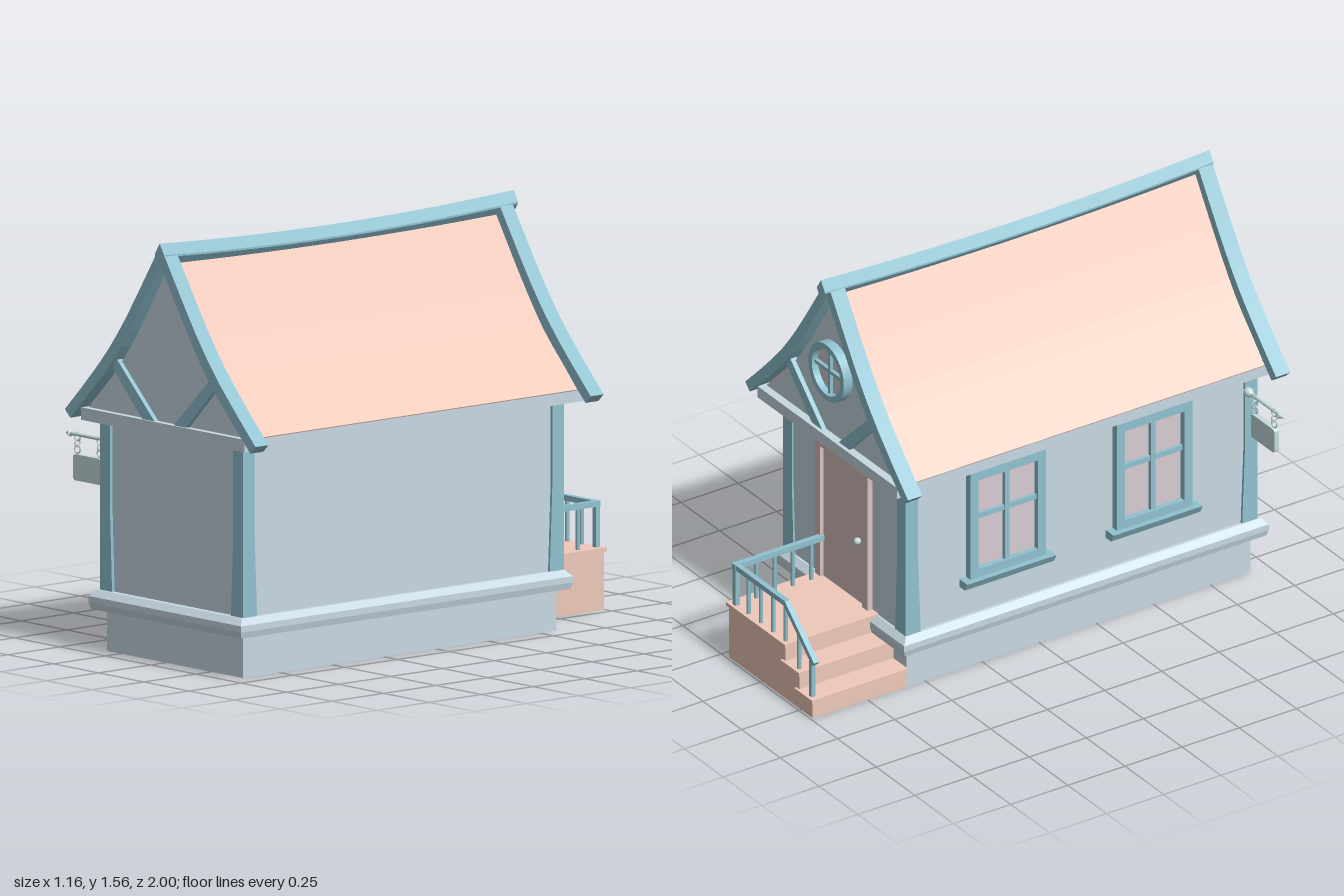
import * as THREE from 'three';

const CX = 0.05; // centre line of the house
const mat = (color, flatShading = true) => new THREE.MeshStandardMaterial({ color, flatShading });

export function createModel() {
  const root = new THREE.Group();
  const wall = mat(0xc8d9e3), trim = mat(0x90c2d0), roofMat = mat(0xefc9ba);
  const doorMat = mat(0xdac3bf), glass = mat(0xd6cdd2), signMat = mat(0xc6dcde);
  const trimSmooth = mat(0x90c2d0, false), metal = mat(0xc6dcde, false);

  const add = (name, geo, material, parent = root) => {
    const m = new THREE.Mesh(geo, material);
    m.name = name;
    parent.add(m);
    return m;
  };
  // Box given by its extents on each axis
  const box = (name, x0, x1, y0, y1, z0, z1, material, parent) => {
    const m = add(name, new THREE.BoxGeometry(x1 - x0, y1 - y0, z1 - z0), material, parent);
    m.position.set((x0 + x1) / 2, (y0 + y1) / 2, (z0 + z1) / 2);
    return m;
  };
  // Bar between two points, square (4 sides) or round
  const bar = (name, a, b, r, material, parent, sides = 8) => {
    const p = new THREE.Vector3(...a), q = new THREE.Vector3(...b), d = q.clone().sub(p);
    const g = new THREE.CylinderGeometry(r, r, d.length(), sides);
    if (sides === 4) g.rotateY(Math.PI / 4);
    const m = add(name, g, material, parent);
    m.position.copy(p).add(q).multiplyScalar(0.5);
    m.quaternion.setFromUnitVectors(new THREE.Vector3(0, 1, 0), d.normalize());
    return m;
  };
  // Outline extruded from z0 to z1
  const prism = (name, shape, z0, z1, material, parent) => {
    const g = new THREE.ExtrudeGeometry(shape, { depth: z1 - z0, bevelEnabled: false, curveSegments: 28 });
    return add(name, g.translate(0, 0, z0), material, parent);
  };
  const poly = pts => new THREE.Shape(pts.map(p => new THREE.Vector2(p[0], p[1])));
  const rect = (w, h) => poly([[-w / 2, -h / 2], [w / 2, -h / 2], [w / 2, h / 2], [-w / 2, h / 2]]);

  // Foundation and bevelled plinth
  box('foundation', -0.325, 0.425, 0, 0.17, -0.58, 0.925, wall);
  const plinth = new THREE.BoxGeometry(0.84, 0.07, 1.595, 1, 3, 1);
  const pp = plinth.attributes.position;
  for (let i = 0; i < pp.count; i++) {
    const inset = pp.getY(i) > 0.03 ? 0.022 : pp.getY(i) < -0.03 ? 0.006 : 0;
    pp.setX(i, pp.getX(i) - Math.sign(pp.getX(i)) * inset);
    pp.setZ(i, pp.getZ(i) - Math.sign(pp.getZ(i)) * inset);
  }
  add('plinth', plinth, wall).position.set(CX, 0.19, 0.1775);

  // Walls and the four corner posts, wider at the foot
  box('walls', -0.335, 0.435, 0.2, 0.86, -0.59, 0.93, wall);
  for (const sx of [-1, 1]) for (const sz of [-1, 1]) {
    const g = new THREE.BoxGeometry(0.055, 0.63, 0.055, 1, 4, 1), p = g.attributes.position;
    for (let i = 0; i < p.count; i++) {
      const k = 0.012 * Math.max(0, -p.getY(i) / 0.315);
      if (p.getX(i) * sx < 0) p.setX(i, p.getX(i) - sx * k);
      if (p.getZ(i) * sz < 0) p.setZ(i, p.getZ(i) - sz * k);
    }
    add('cornerPost', g, trim).position.set(CX + sx * 0.3675, 0.535, 0.1725 + sz * 0.7425);
  }

  // Eaves slab
  box('eavesBeam', -0.4, 0.5, 0.847, 0.893, -0.672, 0.985, wall);

  // Swept roof profile: distance from centre line, height
  const sweep = (pts, n = 10) => new THREE.SplineCurve(pts.map(p => new THREE.Vector2(...p))).getPoints(n).map(p => [p.x, p.y]);
  const outer = sweep([[0.526, 0.878], [0.4, 1.005], [0.283, 1.134], [0.168, 1.29], [0, 1.55]]);
  const inner = sweep([[0.497, 0.85], [0.38, 0.965], [0.266, 1.085], [0.147, 1.25], [0, 1.478]]);
  const under = sweep([[0.448, 0.885], [0.36, 0.97], [0.256, 1.08], [0.14, 1.24], [0, 1.465]]);
  const skin = sweep([[0.452, 0.893], [0.375, 0.975], [0.266, 1.09], [0.147, 1.255], [0, 1.485]]);
  const both = pts => [...pts.map(([d, y]) => [CX + d, y]), ...pts.slice(0, -1).reverse().map(([d, y]) => [CX - d, y])];
  prism('gable', poly(both(under)), -0.64, 0.96, wall);
  prism('roof', poly([...both(skin), ...both(under).reverse()]), -0.62, 0.94, roofMat);
  for (const [z0, z1] of [[0.935, 0.997], [-0.675, -0.613]])
    prism('bargeboard', poly([...both(outer), ...both(inner).reverse()]), z0, z1, trim);

  // Ridge beam, sagging in the middle
  const ridge = new THREE.ExtrudeGeometry(poly([[0, -0.06], [0.025, -0.025], [0.025, -0.018], [0, 0.022], [-0.025, -0.018], [-0.025, -0.025]]),
    { depth: 1.7, steps: 14, bevelEnabled: false });
  const rp = ridge.attributes.position;
  for (let i = 0; i < rp.count; i++) rp.setY(i, rp.getY(i) + 0.025 * (rp.getZ(i) / 0.85 - 1) ** 2);
  add('ridgeBeam', ridge, trim).position.set(CX, 1.51, -0.7);

  // Diagonal braces on both gables
  for (const s of [-1, 1]) for (const [z0, z1] of [[0.95, 0.978], [-0.658, -0.63]]) {
    const pts = [[0.05, 0.89], [0.118, 0.89], [0.285, 1.06], [0.262, 1.095]].map(([d, y]) => [CX + s * d, y]);
    prism('gableBrace', poly(s > 0 ? pts : pts.reverse()), z0, z1, trim);
  }

  // Round gable window
  const round = new THREE.Group();
  round.name = 'roundWindow';
  round.position.set(CX, 1.165, -0.65);
  root.add(round);
  const ring = new THREE.Shape().absarc(0, 0, 0.115, 0, Math.PI * 2);
  ring.holes.push(new THREE.Path().absarc(0, 0, 0.092, 0, Math.PI * 2, true));
  prism('roundFrame', ring, -0.028, 0.015, trim, round);
  prism('roundGlass', new THREE.Shape().absarc(0, 0, 0.095, 0, Math.PI * 2), -0.001, 0.012, glass, round);
  box('glazingBar', -0.007, 0.007, -0.095, 0.095, -0.015, 0, trim, round);
  box('glazingBar', -0.095, 0.095, -0.007, 0.007, -0.015, 0, trim, round);

  // Side windows; local +z looks outward
  for (const z of [-0.16, 0.48]) {
    const w = new THREE.Group();
    w.name = 'sideWindow';
    w.position.set(-0.335, 0.6, z);
    w.rotation.y = -Math.PI / 2;
    root.add(w);
    const frame = rect(0.33, 0.44);
    frame.holes.push(rect(0.26, 0.37));
    prism('windowFrame', frame, -0.01, 0.028, trim, w);
    box('windowGlass', -0.14, 0.14, -0.19, 0.19, -0.01, 0.005, glass, w);
    box('glazingBar', -0.01, 0.01, -0.19, 0.19, 0, 0.02, trim, w);
    box('glazingBar', -0.135, 0.135, 0.02, 0.04, 0, 0.018, trim, w);
    const sill = prism('windowSill', poly([[0, -0.25], [0.035, -0.25], [0.052, -0.218], [0, -0.218]]), -0.195, 0.195, trim, w);
    sill.rotation.y = -Math.PI / 2;
  }

  // Door in the back wall
  const frame = poly([[CX - 0.17, 0.225], [CX + 0.17, 0.225], [CX + 0.17, 0.805], [CX - 0.17, 0.805]]);
  frame.holes.push(poly([[CX - 0.135, 0.225], [CX - 0.135, 0.772], [CX + 0.135, 0.772], [CX + 0.135, 0.225]]));
  prism('doorFrame', frame, -0.612, -0.58, doorMat);
  box('door', CX - 0.14, CX + 0.14, 0.225, 0.775, -0.598, -0.58, doorMat);
  add('doorKnob', new THREE.SphereGeometry(0.014, 14, 10), metal).position.set(-0.055, 0.49, -0.612);

  // Porch: landing and two steps, each with an overhanging tread
  [[-0.15, 0.215, 0.23], [-0.24, -0.13, 0.155], [-0.325, -0.22, 0.08]].forEach(([x0, x1, top], i) => {
    box(i ? 'step' : 'landing', x0, x1, 0, top - 0.012, -0.99, -0.58, roofMat);
    box('tread', x0 - 0.01, i ? x1 : 0.222, top - 0.014, top, -1, -0.58, roofMat);
  });

  // Porch railing
  const rail = new THREE.Group();
  rail.name = 'railing';
  root.add(rail);
  const zr = -0.978, xr = 0.187, top = 0.39;
  bar('handrail', [xr, top, -0.59], [xr, top, zr - 0.012], 0.015, trim, rail, 4);
  bar('handrail', [xr + 0.012, top, zr], [-0.14, top, zr], 0.015, trim, rail, 4);
  bar('handrail', [-0.135, top + 0.002, zr], [-0.325, 0.222, zr], 0.015, trim, rail, 4);
  for (let i = 0; i < 4; i++)
    bar('baluster', [xr, 0.225, -0.65 - i * 0.08], [xr, top, -0.65 - i * 0.08], 0.008, trimSmooth, rail);
  for (let i = 1; i < 5; i++)
    bar('baluster', [xr - i * 0.08, 0.225, zr], [xr - i * 0.08, top, zr], 0.008, trimSmooth, rail);
  bar('cornerNewel', [xr, 0.225, zr], [xr, top, zr], 0.014, trim, rail, 4);
  bar('baluster', [-0.22, 0.15, zr], [-0.22, 0.315, zr], 0.008, trimSmooth, rail);
  bar('lowerNewel', [-0.305, 0.075, zr], [-0.305, 0.24, zr], 0.012, trim, rail, 4);

  // Hanging sign on a pointed pole
  const sign = new THREE.Group();
  sign.name = 'hangingSign';
  sign.position.set(0, 0.768, 0.9);
  root.add(sign);
  const pole = [[0, -0.34], [0.018, -0.34], [0.018, -0.358], [0.012, -0.368], [0.007, -0.372], [0.007, -0.552], [0.014, -0.556], [0, -0.583]];
  const poleGeo = new THREE.LatheGeometry(pole.map(([r, x]) => new THREE.Vector2(r, -x)), 12);
  add('signPole', poleGeo.rotateZ(Math.PI / 2), mat(0xc6dcde)).material.side = THREE.DoubleSide;
  for (const x of [-0.517, -0.393]) for (let i = 0; i < 3; i++) {
    const link = add('chainLink', new THREE.TorusGeometry(0.012, 0.003, 6, 14), metal, sign);
    link.position.set(x, -0.008 - i * 0.023, 0);
    link.scale.y = 1.2;
    link.rotation.y = i % 2 ? Math.PI / 2 : 0.3;
  }
  const board = new THREE.Shape(), hw = 0.076, hh = 0.048, r = 0.012;
  for (const [x, y, a] of [[hw - r, r - hh, -0.5], [hw - r, hh - r, 0], [r - hw, hh - r, 0.5], [r - hw, r - hh, 1]])
    board.absarc(x, y, r, a * Math.PI, (a + 0.5) * Math.PI);
  prism('signBoard', board, -0.01, 0.01, signMat, sign).position.set(-0.455, -0.12, 0);
  root.getObjectByName('signPole').position.copy(sign.position);

  return root;
}
